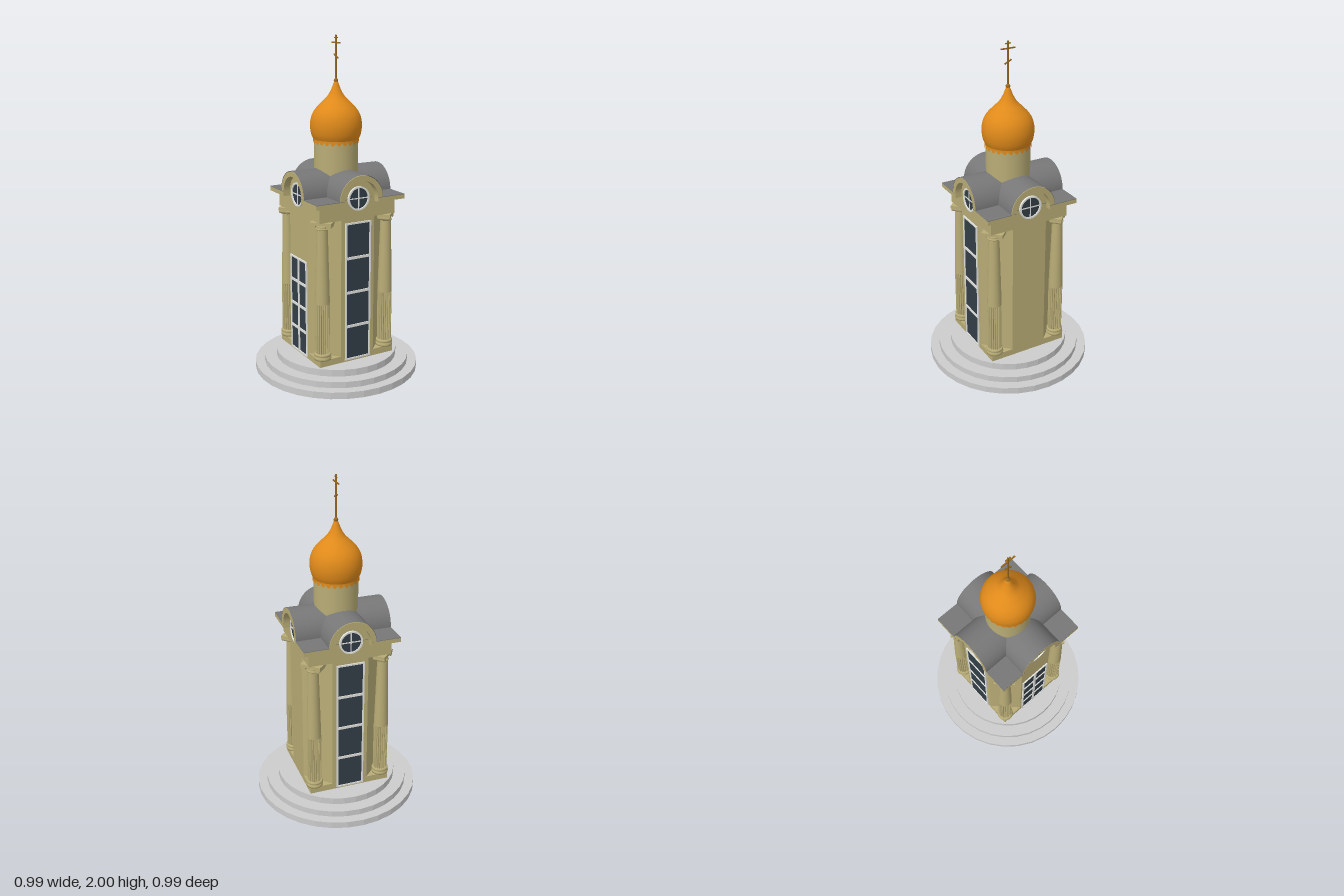
import * as THREE from 'three';

const mat = (color, opts = {}) => new THREE.MeshStandardMaterial({ color, ...opts });
const stone = mat(0xcccccc, { flatShading: true, side: THREE.DoubleSide });
const wall = mat(0xb8ac76);
const wallFlat = mat(0xb8ac76, { flatShading: true });
const roof = mat(0x777777, { side: THREE.DoubleSide });
const gold = mat(0xe08a1a, { side: THREE.DoubleSide });
const brass = mat(0x9a6a20);
const glass = mat(0x323e46);
const white = mat(0xe4e4e0);

const W = 0.25;      // half width of the tower
const EAVE = 0.29;   // half width of the cornice
const SPRING = 1.1;  // height where the arches start

function add(parent, name, geo, material, x = 0, y = 0, z = 0) {
  const m = new THREE.Mesh(geo, material);
  m.name = name;
  m.position.set(x, y, z);
  parent.add(m);
  return m;
}

const box = (w, h, d) => new THREE.BoxGeometry(w, h, d);
const extrude = (shape, depth, curveSegments = 24) =>
  new THREE.ExtrudeGeometry(shape, { depth, bevelEnabled: false, curveSegments });
const polygon = pts => new THREE.Shape(pts.map(p => new THREE.Vector2(...p)));
const lathe = (pts, segments) =>
  new THREE.LatheGeometry(pts.map(p => new THREE.Vector2(...p)), segments);

// Plan shape raised from y0 to y1
const prism = (shape, y0, y1) => extrude(shape, y1 - y0).rotateX(-Math.PI / 2).translate(0, y0, 0);

// Plan with the same corner points repeated on four sides
function fourfold(pts) {
  const all = [];
  for (let k = 0; k < 4; k++) {
    const c = Math.round(Math.cos(k * Math.PI / 2)), s = Math.round(Math.sin(k * Math.PI / 2));
    for (const [x, y] of pts) all.push([x * c - y * s, x * s + y * c]);
  }
  return polygon(all);
}

// Glazed rectangle with a frame and glazing bars, on the +z wall
function gridWindow(name, w, y0, y1, cols, rows) {
  const g = new THREE.Group();
  g.name = name;
  const h = y1 - y0, edge = 0.01, bar = 0.016;
  const shape = polygon([[-w / 2, y0], [w / 2, y0], [w / 2, y1], [-w / 2, y1]]);
  const pw = (w - 2 * edge - (cols - 1) * bar) / cols;
  const ph = (h - 2 * edge - (rows - 1) * bar) / rows;
  for (let i = 0; i < cols; i++) for (let j = 0; j < rows; j++) {
    const x = -w / 2 + edge + i * (pw + bar), y = y0 + edge + j * (ph + bar);
    shape.holes.push(polygon([[x, y], [x, y + ph], [x + pw, y + ph], [x + pw, y]]));
  }
  add(g, 'windowFrame', extrude(shape, 0.008), white, 0, 0, W);
  add(g, 'windowGlass', box(w - 0.01, h - 0.01, 0.006), glass, 0, (y0 + y1) / 2, W);
  return g;
}

// Arch band, gable wall and round window of one side
function gable() {
  const g = new THREE.Group();
  g.name = 'gable';
  const band = new THREE.Shape();
  band.absarc(0, 0, 0.14, 0, Math.PI, false);
  band.absarc(0, 0, 0.11, Math.PI, 0, true);
  add(g, 'archBand', extrude(band, EAVE - W + 0.01), wall, 0, SPRING, W - 0.01);
  const half = new THREE.Shape();
  half.absarc(0, 0, 0.139, 0, Math.PI, false);
  add(g, 'gableWall', extrude(half, 0.1), wall, 0, SPRING, W - 0.1);

  const ring = new THREE.Shape().absarc(0, 0, 0.07, 0, Math.PI * 2, false);
  ring.holes.push(new THREE.Path().absarc(0, 0, 0.06, 0, Math.PI * 2, true));
  add(g, 'roundFrame', extrude(ring, 0.012), white, 0, 1.103, W);
  add(g, 'roundGlass', new THREE.CylinderGeometry(0.062, 0.062, 0.006, 32).rotateX(Math.PI / 2),
    glass, 0, 1.103, W + 0.002);
  add(g, 'roundBar', box(0.12, 0.006, 0.006), white, 0, 1.103, W + 0.005);
  add(g, 'roundBar', box(0.006, 0.12, 0.006), white, 0, 1.103, W + 0.005);
  return g;
}

// Column with moulded base, fluted lower shaft and scrolled capital, facing +z
function column() {
  const g = new THREE.Group();
  g.name = 'column';
  add(g, 'columnBase', lathe([[0, 0.158], [0.05, 0.158], [0.052, 0.166], [0.05, 0.176], [0.045, 0.179],
    [0.05, 0.184], [0.05, 0.192], [0.045, 0.198], [0, 0.2]], 24), wall);
  const flutes = [];
  for (let i = 0; i < 80; i++) {
    const r = i % 4 < 2 ? 0.043 : 0.037, a = i / 80 * Math.PI * 2;
    flutes.push([r * Math.cos(a), r * Math.sin(a)]);
  }
  add(g, 'flutedShaft', prism(polygon(flutes), 0.195, 0.5), wallFlat);
  add(g, 'upperShaft', new THREE.CylinderGeometry(0.031, 0.043, 0.46, 24), wall, 0, 0.73, 0);
  add(g, 'neckRing', new THREE.TorusGeometry(0.032, 0.005, 8, 24).rotateX(Math.PI / 2), wall, 0, 0.945, 0);
  add(g, 'capitalSlab', box(0.125, 0.018, 0.075), wall, 0, 0.977, 0);
  for (const s of [-1, 1])
    add(g, 'capitalScroll', new THREE.CylinderGeometry(0.014, 0.014, 0.07, 16).rotateX(Math.PI / 2),
      wall, s * 0.046, 0.962, 0);
  return g;
}

export function createModel() {
  const model = new THREE.Group();
  model.name = 'chapel';

  // Stepped round base, hollow underneath
  add(model, 'steps', lathe([[0.497, 0], [0.497, 0.04], [0.44, 0.04], [0.44, 0.077],
    [0.367, 0.077], [0.367, 0.118], [0, 0.118]], 32), stone);

  // Tower: square plinth, shaft with cut corners, square top
  add(model, 'plinth', box(2 * W, 0.04, 2 * W), wall, 0, 0.139, 0);
  add(model, 'towerShaft', prism(fourfold([[W, -0.11], [W, 0.11]]), 0.159, 0.986), wall);
  add(model, 'towerTop', box(2 * W, 0.1, 2 * W), wall, 0, 1.035, 0);

  // Cornice, open beneath each arch, with a roof sheet on top
  const plan = fourfold([[EAVE, -EAVE], [EAVE, -0.11], [W, -0.11], [W, 0.11], [EAVE, 0.11]]);
  add(model, 'cornice', prism(plan, 1.075, SPRING), wall);
  add(model, 'corniceRoof', prism(plan, SPRING, SPRING + 0.003), roof);

  // Two crossing barrel roofs
  for (const turn of [0, Math.PI / 2]) {
    const barrel = new THREE.CylinderGeometry(0.143, 0.143, 2 * EAVE, 40, 1, true, Math.PI / 2, Math.PI);
    barrel.rotateX(Math.PI / 2);
    add(model, 'barrelRoof', barrel, roof, 0, SPRING, 0).rotation.y = turn;
  }

  // Gables on four sides, a column at each corner
  for (let k = 0; k < 4; k++) {
    const side = gable();
    side.rotation.y = k * Math.PI / 2;
    const col = column(), a = (k + 0.5) * Math.PI / 2;
    col.position.set(0.213 * Math.sign(Math.sin(a)), 0, 0.213 * Math.sign(Math.cos(a)));
    col.rotation.y = a;
    model.add(side, col);
  }

  // Tall windows front and back, door on the right side
  const back = gridWindow('backWindow', 0.17, 0.13, 0.965, 1, 4);
  back.rotation.y = Math.PI;
  const door = gridWindow('door', 0.2, 0.13, 0.72, 2, 4);
  door.rotation.y = -Math.PI / 2;
  model.add(gridWindow('frontWindow', 0.17, 0.13, 0.965, 1, 4), back, door);

  // Drum with a scalloped trim
  add(model, 'drum', new THREE.CylinderGeometry(0.129, 0.129, 0.3, 48), wall, 0, 1.255, 0);
  const trim = new THREE.CylinderGeometry(0.134, 0.134, 0.02, 192, 1, true);
  const p = trim.attributes.position;
  for (let i = 0; i < p.count; i++) {
    if (p.getY(i) < 0) p.setY(i, 0.004 - 0.02 * Math.abs(Math.sin(12 * Math.atan2(p.getX(i), p.getZ(i)))));
  }
  add(model, 'scallopTrim', trim, gold, 0, 1.4, 0);

  // Onion dome
  const profile = new THREE.SplineCurve([[0.131, 1.405], [0.145, 1.44], [0.151, 1.49], [0.143, 1.54],
    [0.122, 1.58], [0.087, 1.618], [0.053, 1.652], [0.03, 1.69], [0.016, 1.725], [0.008, 1.745]]
    .map(q => new THREE.Vector2(...q)));
  add(model, 'dome', new THREE.LatheGeometry(profile.getPoints(40), 48), gold);
  add(model, 'domeFloor', new THREE.CircleGeometry(0.134, 48).rotateX(Math.PI / 2), gold, 0, 1.406, 0);

  // Ball and cross
  add(model, 'ball', new THREE.SphereGeometry(0.013, 20, 14), brass, 0, 1.744, 0);
  add(model, 'crossPost', box(0.007, 0.255, 0.007), brass, 0, 1.8725, 0);
  add(model, 'crossBar', box(0.007, 0.007, 0.09), brass, 0, 1.957, 0);
  add(model, 'crossTopBar', box(0.007, 0.006, 0.034), brass, 0, 1.985, 0);
  add(model, 'crossFootBar', box(0.007, 0.007, 0.048), brass, 0, 1.882, 0).rotation.x = 0.46;

  return model;
}
